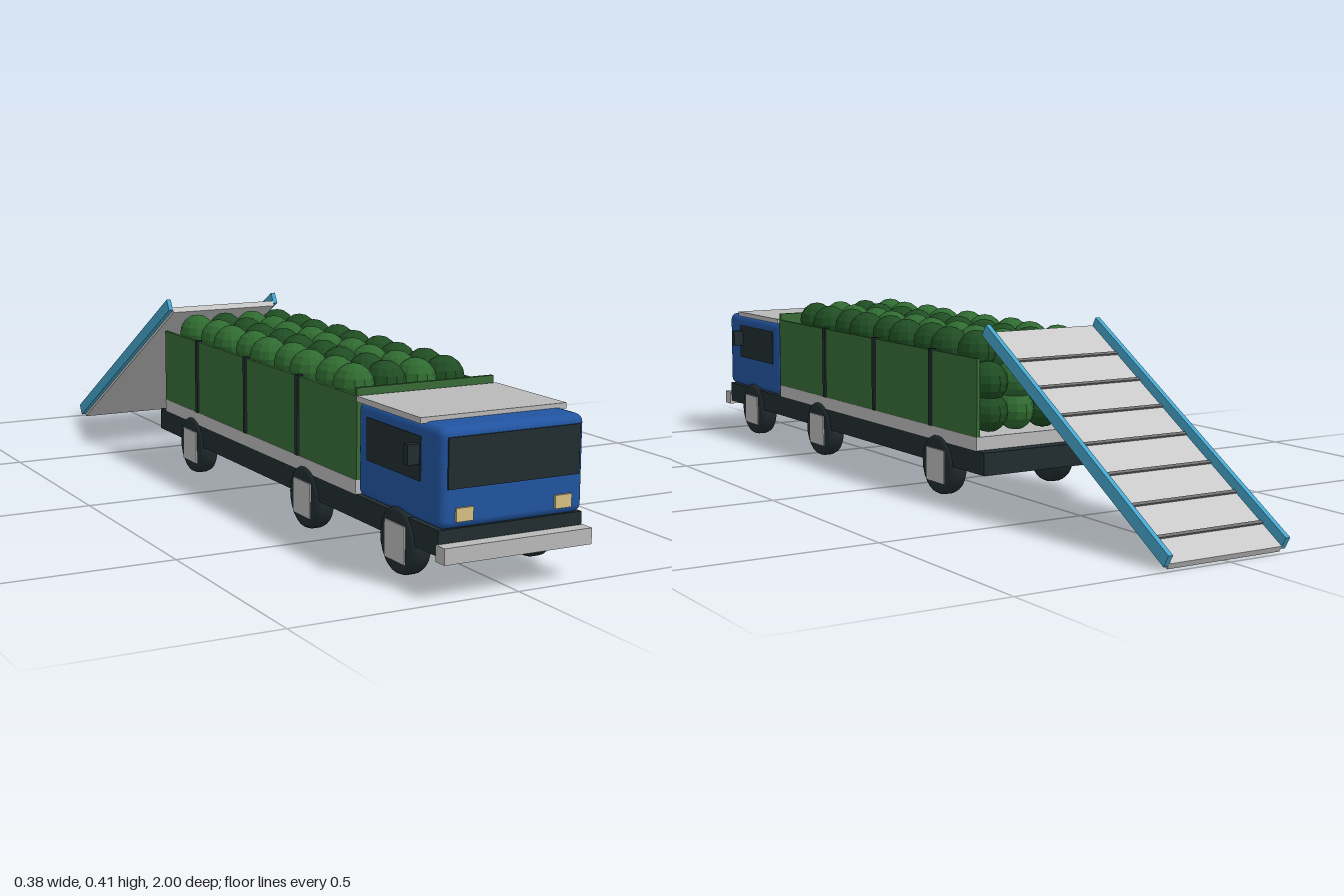
import * as THREE from 'three';
import { RoundedBoxGeometry } from 'three/addons/geometries/RoundedBoxGeometry.js';

function material(name, color, flat = false) {
  const m = new THREE.MeshStandardMaterial({ color, flatShading: flat });
  m.name = name;
  return m;
}

export function createModel() {
  const blue = material('cabBlue', 0x2154a0);
  const dark = material('rubberAndGlass', 0x212c2e);
  const grey = material('paleGrey', 0xb9b9b9);
  const green = material('panelGreen', 0x376b37);
  const lamp = material('lampYellow', 0xd6c083);
  const railBlue = material('railBlue', 0x46a5cc);
  const rampGrey = material('rampGrey', 0xc8c8c8);
  const seamGrey = material('seamGrey', 0x707070);
  const melonLight = material('melonLight', 0x2f6a30, true);
  const melonDark = material('melonDark', 0x1f4d22, true);

  const truck = new THREE.Group();
  truck.name = 'truck';

  function add(name, geometry, mat, x = 0, y = 0, z = 0, parent = truck) {
    const mesh = new THREE.Mesh(geometry, mat);
    mesh.name = name;
    mesh.position.set(x, y, z);
    parent.add(mesh);
    return mesh;
  }
  // Box given by its lower and upper limits on each axis
  function box(name, mat, x0, x1, y0, y1, z0, z1, parent = truck) {
    return add(name, new THREE.BoxGeometry(x1 - x0, y1 - y0, z1 - z0), mat,
      (x0 + x1) / 2, (y0 + y1) / 2, (z0 + z1) / 2, parent);
  }
  // Mirrored pair of boxes, limits given for the left side
  function pair(name, mat, x0, x1, ...rest) {
    box(name + 'Left', mat, x0, x1, ...rest);
    box(name + 'Right', mat, -x1, -x0, ...rest);
  }

  // Chassis and bumper
  box('chassis', dark, -0.165, 0.165, 0.085, 0.136, -0.368, 0.97);
  box('bumper', grey, -0.169, 0.169, 0.076, 0.109, 0.968, 1);

  // Cab
  add('cab', new RoundedBoxGeometry(0.328, 0.198, 0.323, 3, 0.018), blue, 0, 0.234, 0.8145);
  box('roofPanel', grey, -0.168, 0.168, 0.33, 0.342, 0.657, 0.905);
  box('windshield', dark, -0.15, 0.15, 0.215, 0.315, 0.973, 0.979);
  pair('sideWindow', dark, 0.16, 0.166, 0.217, 0.305, 0.695, 0.902);
  pair('mirror', dark, 0.164, 0.192, 0.25, 0.29, 0.883, 0.899);
  pair('headlight', lamp, 0.094, 0.132, 0.151, 0.178, 0.973, 0.981);

  // Open cargo bed
  box('bedFloor', grey, -0.165, 0.165, 0.136, 0.166, -0.336, 0.65);
  pair('bedSide', green, 0.156, 0.164, 0.166, 0.34, -0.336, 0.65);
  box('bedFront', green, -0.164, 0.164, 0.166, 0.357, 0.643, 0.652);
  for (const z of [0.39, 0.13, -0.138]) {
    pair('sidePost', dark, 0.154, 0.168, 0.166, 0.343, z - 0.006, z + 0.006);
  }

  // Wheels with a rounded tread and square hubs
  const profile = [[0, -0.023], [0.058, -0.023], [0.066, -0.019], [0.07, -0.01],
    [0.07, 0.01], [0.066, 0.019], [0.058, 0.023], [0, 0.023]];
  const tyre = new THREE.LatheGeometry(profile.map(([r, y]) => new THREE.Vector2(r, y)), 24);
  tyre.rotateZ(Math.PI / 2);
  for (const z of [0.82, 0.425, -0.17]) {
    for (const side of [-1, 1]) {
      add('wheel', tyre, dark, side * 0.147, 0.081, z);
      add('hub', new THREE.BoxGeometry(0.012, 0.077, 0.077), grey, side * 0.167, 0.079, z);
    }
  }

  // Layers of melons, columns alternating in shade
  const melon = new THREE.SphereGeometry(1, 12, 8);
  melon.scale(0.042, 0.046, 0.05);
  const melons = new THREE.Group();
  melons.name = 'melons';
  truck.add(melons);
  const layers = [[0.212, -0.048], [0.28, -0.048], [0.345, 0]];
  for (const [y, shift] of layers) {
    for (let row = 0; row < 9; row++) {
      [-0.113, -0.037, 0.037, 0.107].forEach((x, col) => {
        const sway = (row % 2 ? 1 : -1) * 0.006;
        add('melon', melon, col % 2 ? melonDark : melonLight,
          x + sway, y, 0.556 - row * 0.099 + shift, melons);
      });
    }
  }

  // Loading ramp: tilted plate, seams and side rails
  const ramp = new THREE.Group();
  ramp.name = 'ramp';
  ramp.position.set(0, 0.212, -0.669);
  ramp.rotation.x = -0.533;
  truck.add(ramp);
  const half = 0.376;
  box('rampPlate', rampGrey, -0.141, 0.141, -0.021, -0.007, -half, half, ramp);
  for (let i = 1; i <= 7; i++) {
    const z = half - 0.012 - i * 0.0955;
    box('rampSeam', seamGrey, -0.14, 0.14, -0.008, -0.003, z - 0.004, z + 0.004, ramp);
  }
  for (const side of [-1, 1]) {
    const rail = box('rampRail', railBlue, -0.0055, 0.0055, -0.014, 0.015, -half, half, ramp);
    rail.position.x = side * 0.1465;
  }

  return truck;
}
